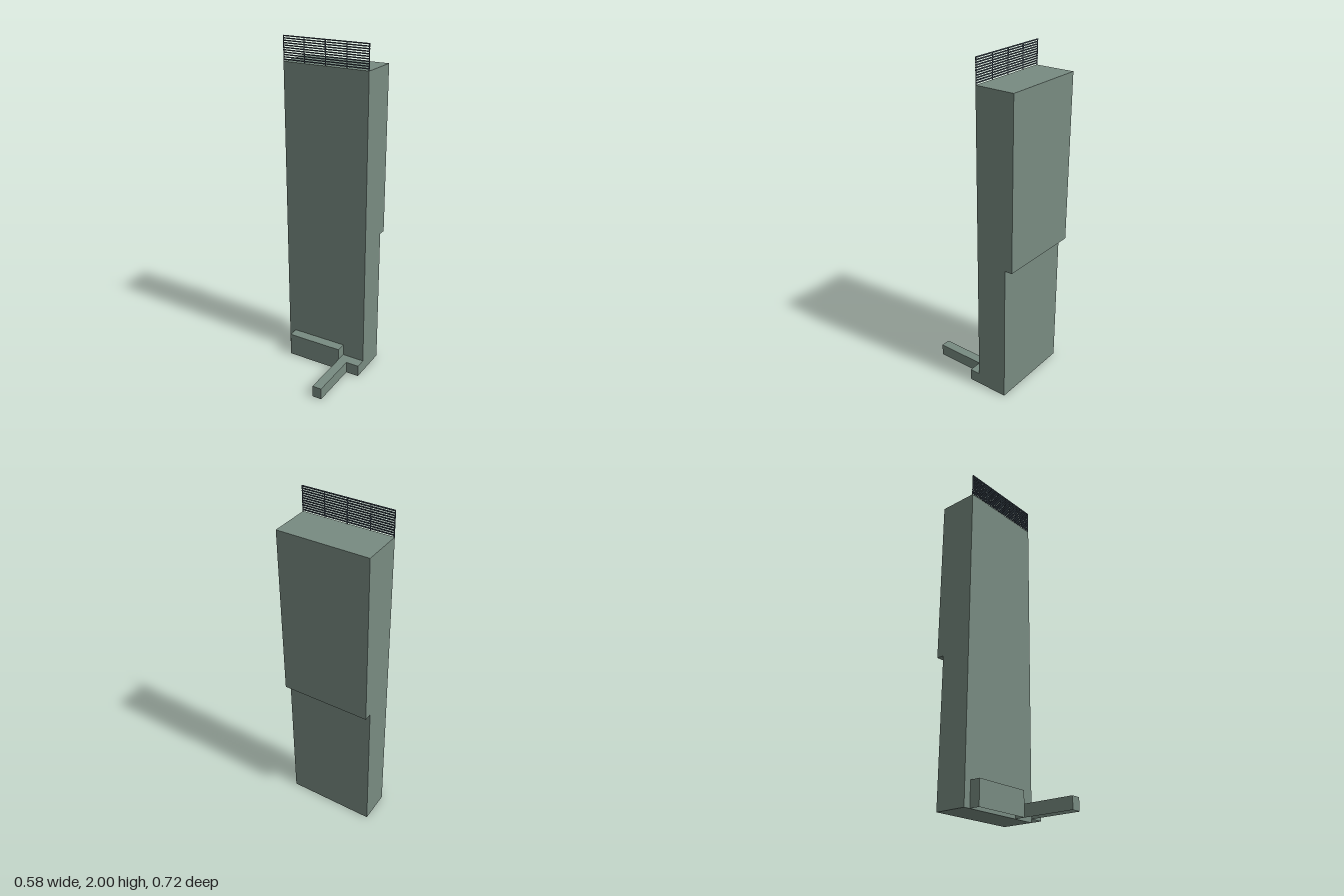
import * as THREE from 'three';
import { mergeGeometries } from 'three/addons/utils/BufferGeometryUtils.js';

const facade = new THREE.MeshStandardMaterial({ color: 0x788b81 });
facade.name = 'grey green facade';
facade.side = THREE.DoubleSide;
const metal = new THREE.MeshStandardMaterial({ color: 0x46525e });
metal.name = 'dark blue grey metal';

const LEFT = -0.3165, RIGHT = 0.2125, FRONT = -0.038;

// Box given by its limits along each axis
function block(name, material, [x0, x1], [y0, y1], [z0, z1]) {
  const mesh = new THREE.Mesh(new THREE.BoxGeometry(x1 - x0, y1 - y0, z1 - z0), material);
  mesh.position.set((x0 + x1) / 2, (y0 + y1) / 2, (z0 + z1) / 2);
  mesh.name = name;
  return mesh;
}

// Walls along an open plan outline with a flat roof; open underneath and towards the tower
function annex(name, plan, height) {
  const roof = new THREE.ShapeGeometry(new THREE.Shape(plan.map(([x, z]) => new THREE.Vector2(x, -z))));
  roof.rotateX(-Math.PI / 2).translate(0, height, 0);
  const parts = [roof];
  for (let i = 0; i < plan.length - 1; i++) {
    const [ax, az] = plan[i], [bx, bz] = plan[i + 1];
    const wall = new THREE.PlaneGeometry(Math.hypot(bx - ax, bz - az), height);
    wall.rotateY(-Math.atan2(bz - az, bx - ax));
    wall.translate((ax + bx) / 2, height / 2, (az + bz) / 2);
    parts.push(wall);
  }
  const mesh = new THREE.Mesh(mergeGeometries(parts), facade);
  mesh.name = name;
  return mesh;
}

export function createModel() {
  const model = new THREE.Group();
  model.name = 'towerBlock';
  // The whole building is turned on its site
  const building = new THREE.Group();
  building.name = 'building';
  building.rotation.y = -0.318;
  model.add(building);

  // Tower: the upper half overhangs at the back
  building.add(
    block('lowerTower', facade, [LEFT, RIGHT], [0, 0.858], [-0.229, FRONT]),
    block('upperTower', facade, [LEFT, RIGHT], [0.858, 1.858], [-0.2755, FRONT]),
  );

  // Ground level extensions on the front
  building.add(
    annex('entranceHall', [[-0.275, FRONT], [-0.275, 0.0235], [0.0745, 0.0235], [0.0745, FRONT]], 0.143),
    annex('coveredWalkway', [[0.0745, FRONT], [0.0745, 0.3325], [0.132, 0.3325], [0.132, 0.0265],
      [RIGHT, 0.0265], [RIGHT, FRONT]], 0.072),
  );

  // Louvred screen on the front edge of the roof
  const screen = new THREE.Group();
  screen.name = 'roofScreen';
  const slats = 11;
  for (let i = 0; i < slats; i++) {
    const y = 1.866 + i * 0.0128;
    screen.add(block('screenSlat', metal, [LEFT, RIGHT], [y, y + 0.006], [FRONT - 0.006, FRONT]));
  }
  for (let i = 0; i < 5; i++) {
    const x = LEFT + 0.002 + i * (RIGHT - LEFT - 0.004) / 4;
    screen.add(block('screenPost', metal, [x - 0.002, x + 0.002], [1.858, 2], [FRONT - 0.005, FRONT - 0.001]));
  }
  building.add(screen);
  return model;
}
